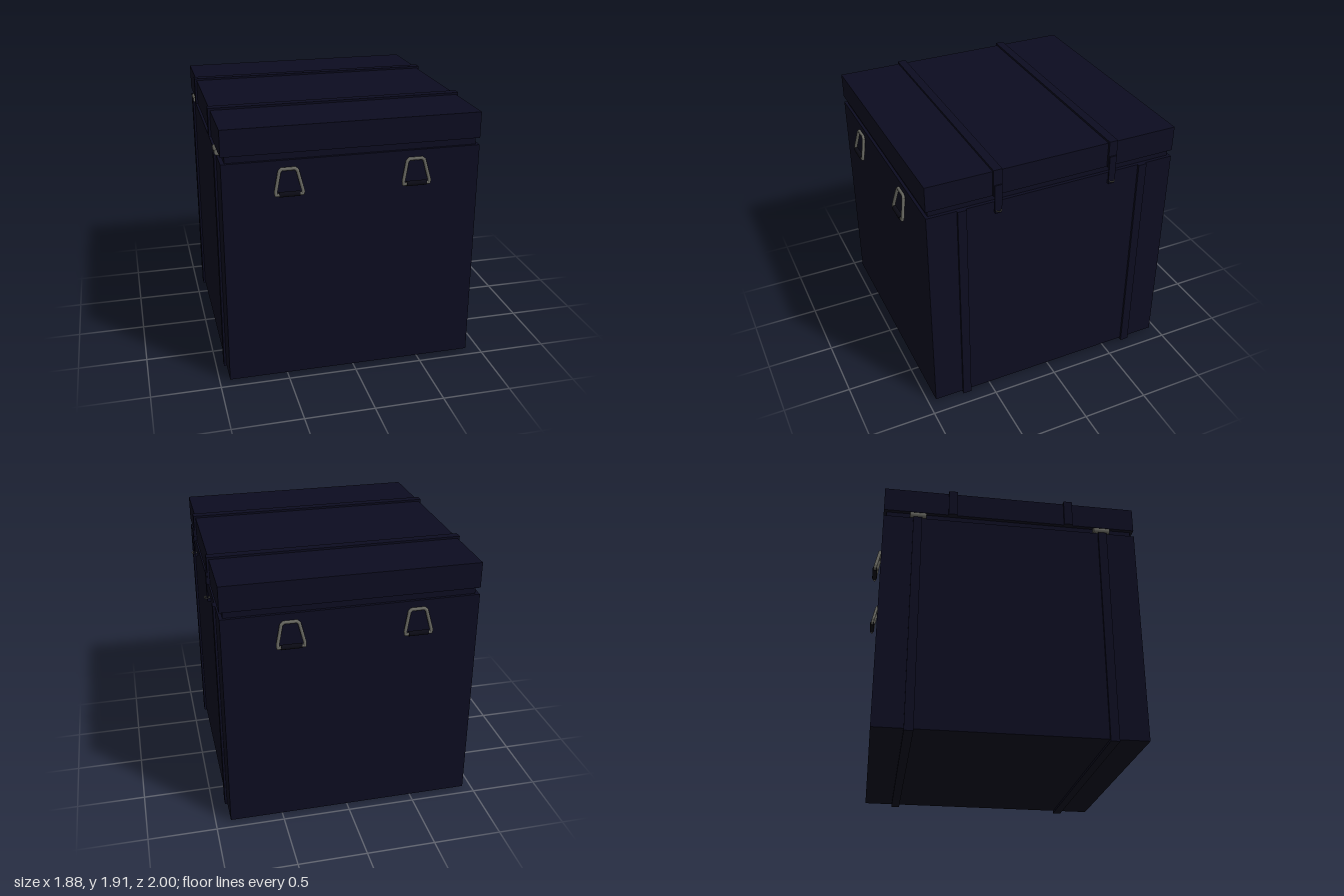
import * as THREE from 'three';

const navy = new THREE.MeshStandardMaterial({ color: 0x0c0c20 });
navy.name = 'navy';
const steel = new THREE.MeshStandardMaterial({ color: 0x66665f });
steel.name = 'steel';
const black = new THREE.MeshStandardMaterial({ color: 0x0a0a14 });
black.name = 'black';

// Box given by its two extreme corners
function block(name, mat, [x0, y0, z0], [x1, y1, z1]) {
  const m = new THREE.Mesh(new THREE.BoxGeometry(x1 - x0, y1 - y0, z1 - z0), mat);
  m.position.set((x0 + x1) / 2, (y0 + y1) / 2, (z0 + z1) / 2);
  m.name = name;
  return m;
}

// Round bar between two points
function rod(name, mat, a, b, r) {
  const dir = b.clone().sub(a);
  const m = new THREE.Mesh(new THREE.CylinderGeometry(r, r, dir.length(), 10), mat);
  m.position.copy(a).add(b).multiplyScalar(0.5);
  m.quaternion.setFromUnitVectors(new THREE.Vector3(0, 1, 0), dir.normalize());
  m.name = name;
  return m;
}

// Trapezoid carrying handle, leaning out from the wall
function makeHandle() {
  const g = new THREE.Group();
  g.name = 'handle';
  const half = [[-0.05, 1.432, 0.982], [-0.092, 1.432, 0.982], [-0.094, 1.452, 0.978],
    [-0.062, 1.588, 0.953], [-0.046, 1.602, 0.95]];
  const pts = [...half, ...half.slice().reverse().map(([x, y, z]) => [-x, y, z])]
    .map(p => new THREE.Vector3(...p));
  for (let i = 0; i < pts.length - 1; i++) {
    g.add(rod('handleBar', steel, pts[i], pts[i + 1], 0.012));
    if (i > 0) {
      const joint = new THREE.Mesh(new THREE.SphereGeometry(0.012, 10, 8), steel);
      joint.position.copy(pts[i]);
      joint.name = 'handleCorner';
      g.add(joint);
    }
  }
  g.add(rod('handleGrip', black, new THREE.Vector3(-0.072, 1.434, 0.982),
    new THREE.Vector3(0.072, 1.434, 0.982), 0.018));
  return g;
}

export function createModel() {
  const model = new THREE.Group();
  model.name = 'trunk';
  const L = -0.927, R = 0.89, Z = 0.943;

  // Case, recessed neck and lid
  model.add(
    block('case', navy, [L, 0.018, -Z], [R, 1.663, Z]),
    block('neck', navy, [L + 0.028, 1.655, -Z + 0.021], [R - 0.024, 1.72, Z - 0.021]),
    block('lid', navy, [L, 1.713, -Z], [R, 1.9, Z])
  );

  for (const s of [-1, 1]) {
    // Case strap running under the bottom and up both sides
    const z = s * 0.694, w = 0.032;
    model.add(
      block('bottomStrap', navy, [L - 0.016, 0, z - w], [R + 0.016, 0.018, z + w]),
      block('leftCaseStrap', navy, [L - 0.016, 0.018, z - w], [L, 1.663, z + w]),
      block('rightCaseStrap', navy, [R, 0.018, z - w], [R + 0.016, 1.663, z + w])
    );

    // Lid strap
    const c = s * 0.436;
    model.add(
      block('topStrap', navy, [L - 0.016, 1.9, c - w], [R + 0.016, 1.915, c + w]),
      block('leftLidStrap', navy, [L - 0.016, 1.713, c - w], [L, 1.9, c + w]),
      block('rightLidStrap', navy, [R, 1.713, c - w], [R + 0.016, 1.9, c + w])
    );

    // Clasp hanging over the gap, with its staple and ring
    model.add(
      block('clasp', navy, [R + 0.016, 1.6, c - 0.026], [R + 0.025, 1.8, c + 0.026]),
      block('staple', navy, [R, 1.58, c - 0.022], [R + 0.024, 1.603, c + 0.022])
    );
    const ring = new THREE.Mesh(new THREE.TorusGeometry(0.018, 0.004, 6, 16), steel);
    ring.rotation.x = Math.PI / 2;
    ring.position.set(R + 0.026, 1.605, c);
    ring.name = 'claspRing';
    model.add(ring);

    // Hinge barrel and leaf in the left gap
    const hz = s * 0.69;
    model.add(
      rod('hingeBarrel', steel, new THREE.Vector3(-0.921, 1.688, hz - 0.06),
        new THREE.Vector3(-0.921, 1.688, hz + 0.06), 0.022),
      block('hingeLeaf', steel, [-0.915, 1.663, hz - 0.06], [-0.897, 1.713, hz + 0.06])
    );

    // Two handles on the front and two on the back
    for (const x of [-0.476, 0.42]) {
      const handle = makeHandle();
      handle.position.x = x;
      if (s < 0) handle.rotation.y = Math.PI;
      model.add(handle);
    }
  }
  return model;
}
